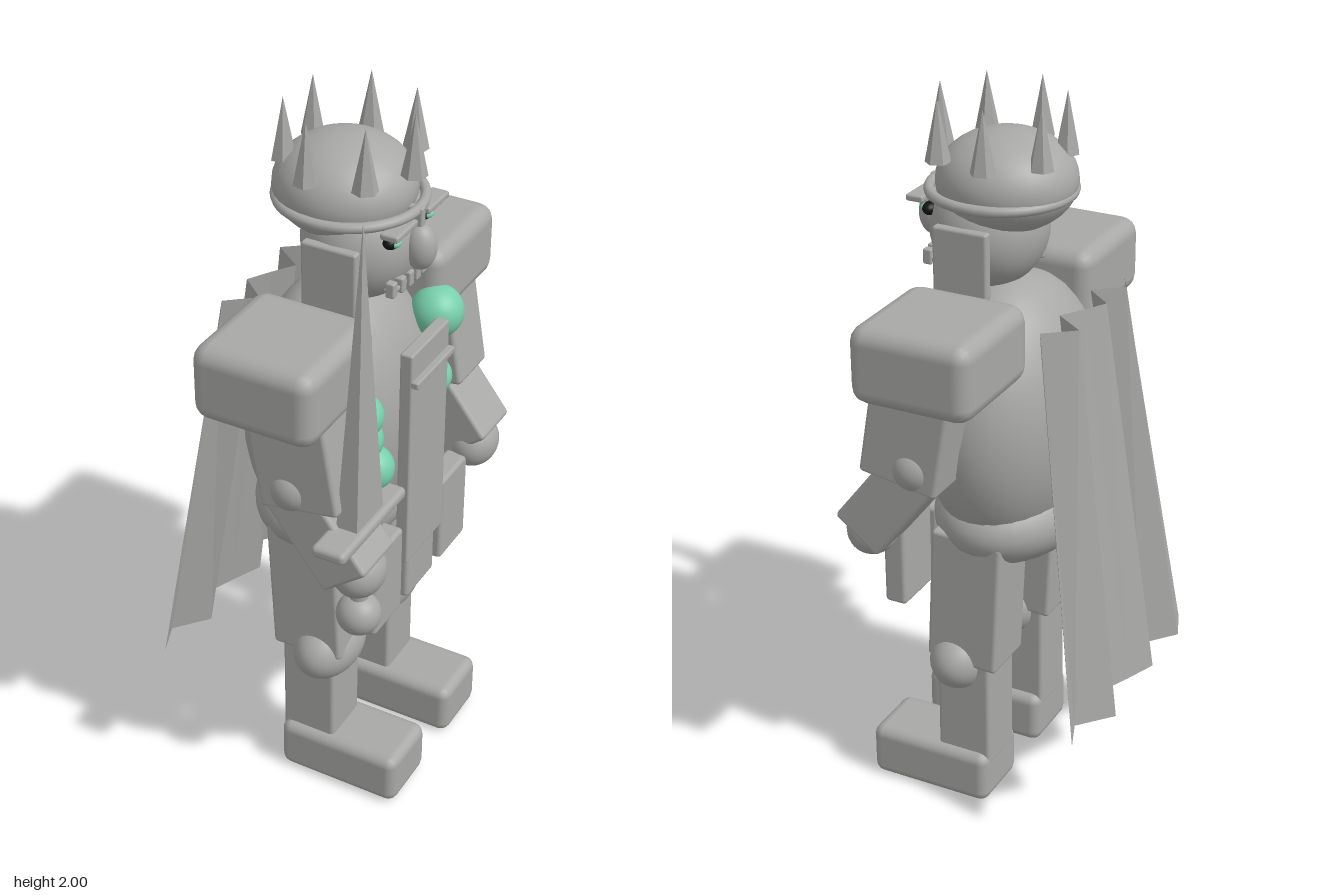
import * as THREE from 'three';
import { RoundedBoxGeometry } from 'three/addons/geometries/RoundedBoxGeometry.js';

export function createModel() {
  const model = new THREE.Group();
  const stone = new THREE.MeshStandardMaterial({ color: 0xa8a8a6, side: THREE.DoubleSide });
  stone.name = 'stone grey';
  const jade = new THREE.MeshStandardMaterial({ color: 0x78cfac });
  jade.name = 'jade green';
  const black = new THREE.MeshStandardMaterial({ color: 0x101414 });
  black.name = 'eye black';

  const add = (name, geo, x, y, z, mat = stone, parent = model) => {
    const m = new THREE.Mesh(geo, mat);
    m.name = name;
    m.position.set(x, y, z);
    parent.add(m);
    return m;
  };
  const ball = (name, x, y, z, rx, ry = rx, rz = rx, mat = stone) => {
    const m = add(name, new THREE.SphereGeometry(1, 32, 20), x, y, z, mat);
    m.scale.set(rx, ry, rz);
    return m;
  };
  const box = (name, x, y, z, w, h, d, r = 0.012, tilt = 0) => {
    const m = add(name, new RoundedBoxGeometry(w, h, d, 2, r), x, y, z);
    m.rotation.z = tilt;
    return m;
  };
  // Faceted cones get one normal per face
  const facet = (geo) => {
    const g = geo.toNonIndexed();
    g.computeVertexNormals();
    return g;
  };

  // Body
  ball('torso', 0.035, 1.13, 0, 0.225, 0.385, 0.32);
  ball('pelvis', 0.03, 0.85, 0, 0.205, 0.142, 0.27);

  // Head and face
  ball('head', 0.1, 1.64, 0, 0.155, 0.165, 0.165);
  ball('cap', 0.05, 1.77, 0, 0.185, 0.132, 0.183);
  ball('nose', 0.262, 1.645, 0, 0.043, 0.062, 0.041);
  box('noseBridge', 0.245, 1.725, 0, 0.05, 0.06, 0.022, 0.006);
  box('mouthBar', 0.228, 1.555, 0, 0.03, 0.012, 0.2, 0.004);
  for (let i = 0; i < 6; i++) {
    const z = (i - 2.5) * 0.037;
    box('tooth', 0.24 - z * z, 1.56, z, 0.025, 0.042, 0.024, 0.005);
  }
  for (const s of [-1, 1]) {
    box('earFlap', 0.098, 1.59, s * 0.163, 0.155, 0.18, 0.028, 0.008);
    box('brow', 0.245, 1.728, s * 0.085, 0.05, 0.018, 0.11, 0.006);
    ball('eye', 0.226, 1.69, s * 0.087, 0.02, 0.018, 0.027, black);
    ball('iris', 0.24, 1.69, s * 0.087, 0.012, 0.011, 0.017, jade);
  }

  // Crown
  const band = add('crownBand', new THREE.TorusGeometry(0.187, 0.014, 10, 48), 0.065, 1.745, 0);
  band.rotation.x = Math.PI / 2;
  const spikeGeo = facet(new THREE.ConeGeometry(0.034, 0.165, 6));
  for (let i = 0; i < 7; i++) {
    const a = (i / 7) * Math.PI * 2;
    const spike = add('crownSpike', spikeGeo, 0.07 + 0.17 * Math.cos(a), 1.9175, 0.17 * Math.sin(a));
    spike.rotation.y = -a;
  }

  // Arms and legs, mirrored across z
  for (const s of [-1, 1]) {
    box('pauldron', 0.068, 1.418, s * 0.343, 0.34, 0.21, 0.345, 0.045);
    box('upperArm', 0.125, 1.24, s * 0.345, 0.225, 0.36, 0.165, 0.012, 0.17);
    ball('elbow', 0.118, 1.105, s * 0.37, 0.072, 0.072, 0.075);
    box('forearm', 0.193, 1.0, s * 0.345, 0.155, 0.3, 0.162, 0.012, 0.66);
    ball('hand', 0.28, 0.87, s * 0.335, 0.07, 0.075, 0.08);

    box('thigh', 0.063, 0.64, s * 0.165, 0.208, 0.4, 0.17, 0.012, 0.05);
    ball('knee', 0.1, 0.432, s * 0.165, 0.09, 0.095, 0.132);
    box('shin', 0.072, 0.3, s * 0.165, 0.16, 0.36, 0.15);
    box('foot', 0.175, 0.08, s * 0.165, 0.365, 0.155, 0.2, 0.03);
    box('tasset', 0.262, 0.73, s * 0.192, 0.065, 0.265, 0.155);
  }

  // Front cloth
  box('centreTasset', 0.262, 0.7, 0, 0.06, 0.21, 0.16);
  box('tabard', 0.283, 1.0625, 0, 0.036, 0.655, 0.21, 0.006);
  box('tabardBar', 0.308, 1.305, 0, 0.022, 0.02, 0.21, 0.005);

  // Jade growths on the chest: y, z, radius
  for (const [y, z, r] of [[1.27, 0.24, 0.06], [1.2, 0.24, 0.06], [1.075, 0.18, 0.062],
    [1.355, -0.18, 0.072], [1.25, -0.1, 0.055], [1.165, -0.16, 0.055]]) {
    ball('jadeGrowth', 0.228, y, z, r, r, r, jade);
  }

  // Sword
  const bladeGeo = new THREE.ConeGeometry(Math.SQRT1_2, 1, 4, 1);
  bladeGeo.rotateY(Math.PI / 4);
  bladeGeo.scale(0.06, 0.85, 0.14);
  add('swordBlade', facet(bladeGeo), 0.281, 1.455, 0.338);
  box('swordGuard', 0.28, 1.025, 0.338, 0.095, 0.034, 0.34, 0.014);
  add('swordGrip', new THREE.CylinderGeometry(0.025, 0.025, 0.3, 16), 0.281, 0.875, 0.338);
  ball('swordPommel', 0.281, 0.728, 0.338, 0.06);

  // Pleated cape, flaring out towards the hem
  const pleat = [0, 0.035, -0.045, 0.04, 0, -0.035, 0.04, -0.035, 0];
  const cape = new THREE.PlaneGeometry(1, 1, 8, 1);
  const pos = cape.attributes.position;
  for (let i = 0; i < pos.count; i++) {
    const top = i < 9, k = i % 9, half = top ? 0.25 : 0.363;
    pos.setXYZ(i, (top ? -0.17 : -0.32) + pleat[k], top ? 1.45 : 0.365, (k / 4 - 1) * half);
  }
  add('cape', facet(cape), 0, 0, 0);

  return model;
}
